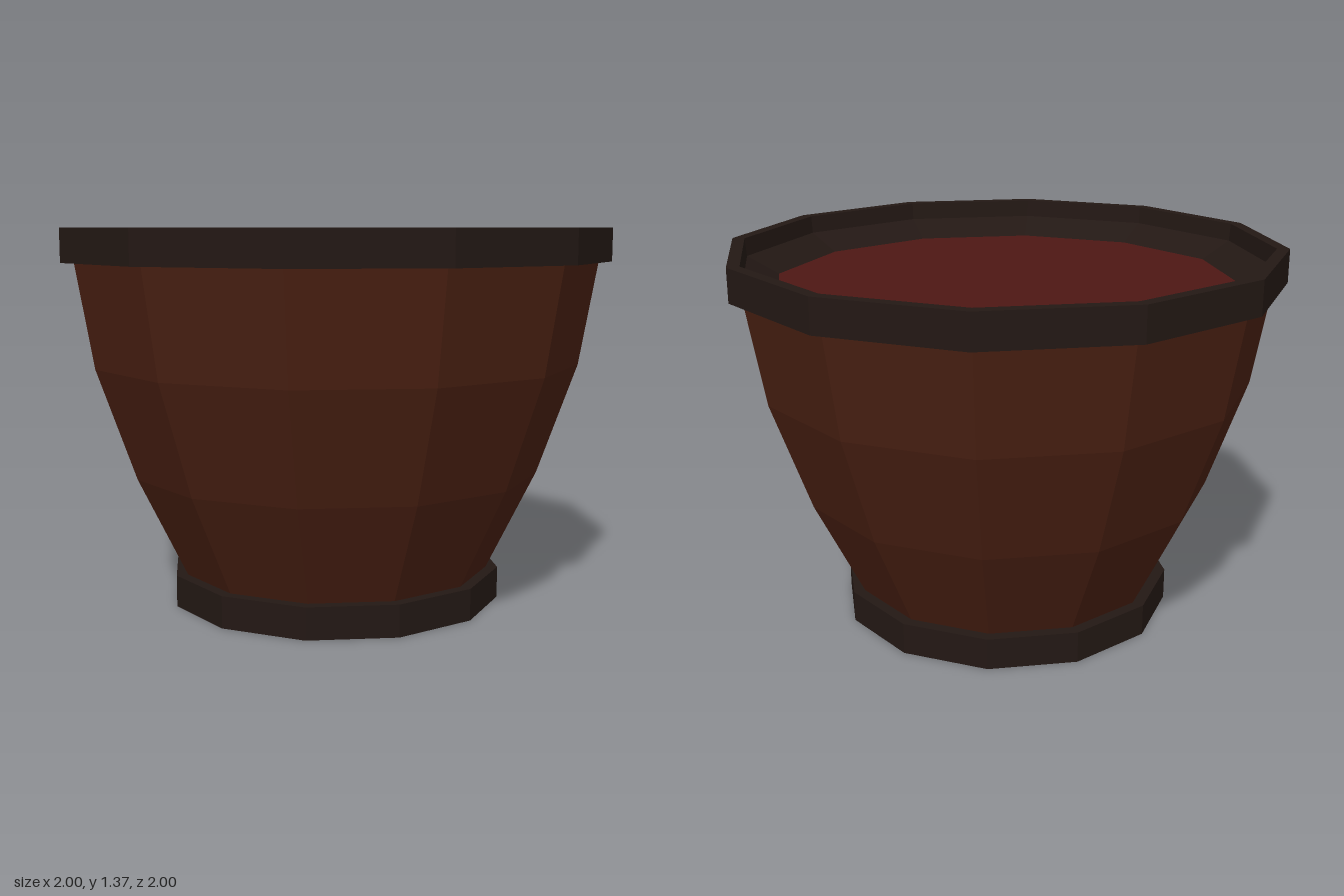
import * as THREE from 'three';

const SIDES = 12;

function material(color) {
  return new THREE.MeshStandardMaterial({ color, flatShading: true });
}

// Faceted turned part; the profile runs up the outside and back down the inside
function turned(name, profile, mat) {
  const points = profile.map(([r, y]) => new THREE.Vector2(r, y));
  const mesh = new THREE.Mesh(new THREE.LatheGeometry(points, SIDES), mat);
  mesh.name = name;
  return mesh;
}

export function createModel() {
  const group = new THREE.Group();
  group.name = 'filledBowl';

  const wood = material(0x4a2012);
  const dark = material(0x231814);
  const red = material(0x4e1714);

  // Foot: a short solid disc
  const foot = new THREE.Mesh(new THREE.CylinderGeometry(0.615, 0.615, 0.115, SIDES), dark);
  foot.name = 'foot';
  foot.position.y = 0.0575;
  group.add(foot);

  // Curved wooden body
  group.add(turned('body', [[0.565, 0.1], [0.75, 0.48], [0.89, 0.88], [0.955, 1.26]], wood));

  // Rim: square outer band, narrow lip, and a ledge sloping in to the contents
  group.add(turned('rim', [
    [0.93, 1.25], [1, 1.25], [1, 1.37], [0.955, 1.37], [0.95, 1.305], [0.83, 1.24],
  ], dark));

  // Flat surface of the contents
  const contents = new THREE.Mesh(new THREE.CylinderGeometry(0.835, 0.82, 0.02, SIDES), red);
  contents.name = 'contents';
  contents.position.y = 1.232;
  group.add(contents);

  return group;
}
